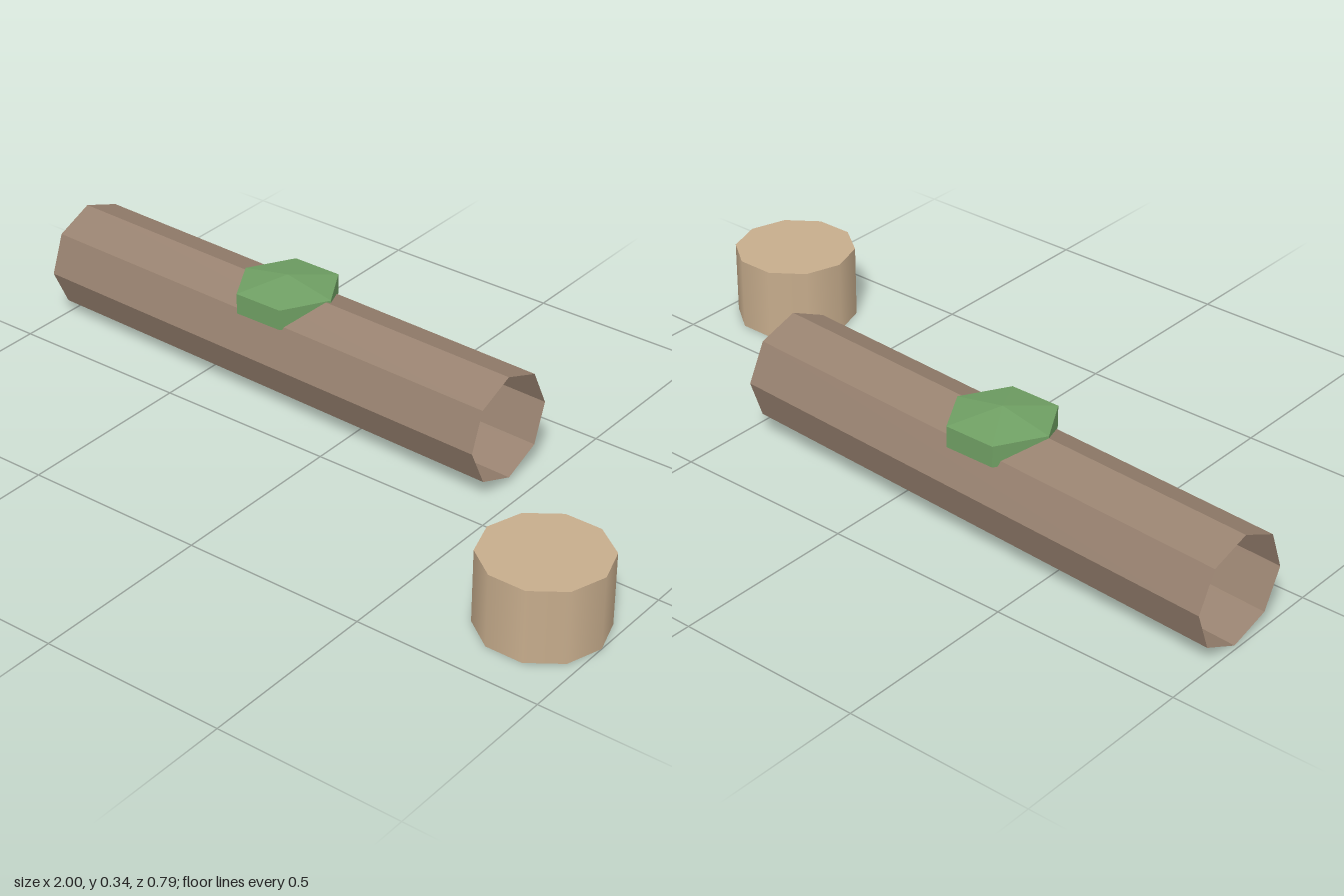
import * as THREE from 'three';

const mat = (name, color, extra = {}) => {
  const m = new THREE.MeshStandardMaterial({ color, ...extra });
  m.name = name;
  return m;
};

export function createModel() {
  const bark = mat('bark brown', 0x97816f, { flatShading: true, side: THREE.DoubleSide });
  const wood = mat('pale wood', 0xc6ac8c, { side: THREE.DoubleSide });
  const moss = mat('moss green', 0x6f9f63, { flatShading: true });

  const model = new THREE.Group();
  const add = (name, geometry, material, parent = model) => {
    const mesh = new THREE.Mesh(geometry, material);
    mesh.name = name;
    parent.add(mesh);
    return mesh;
  };

  // Hollow fallen log: open eight-sided tube, slightly tilted and turned
  const a = new THREE.Vector3(-0.993, 0.148, -0.25);
  const b = new THREE.Vector3(0.442, 0.165, -0.185);
  const axis = b.clone().sub(a);
  const log = add('hollowLog', new THREE.CylinderGeometry(0.147, 0.147, axis.length(), 8, 1, true), bark);
  log.position.copy(a).add(b).multiplyScalar(0.5);
  log.quaternion.setFromUnitVectors(new THREE.Vector3(0, 1, 0), axis.normalize());

  // Flattened moss clump resting on the log
  const clump = add('mossClump', new THREE.SphereGeometry(0.162, 6, 3), moss);
  clump.scale.y = 0.35;
  clump.position.set(-0.276, 0.279, -0.217);

  // Ten-sided stump: smooth wall, flat top, open underside
  const stump = new THREE.Group();
  stump.name = 'stump';
  stump.position.set(0.837, 0, 0.241);
  model.add(stump);
  const r = 0.163, h = 0.198;
  const wall = new THREE.CylinderGeometry(r, r, h, 10, 1, true, Math.PI / 2);
  add('stumpWall', wall.translate(0, h / 2, 0), wood, stump);
  const top = new THREE.CircleGeometry(r, 10).rotateX(-Math.PI / 2);
  add('stumpTop', top.translate(0, h, 0), wood, stump);

  return model;
}
